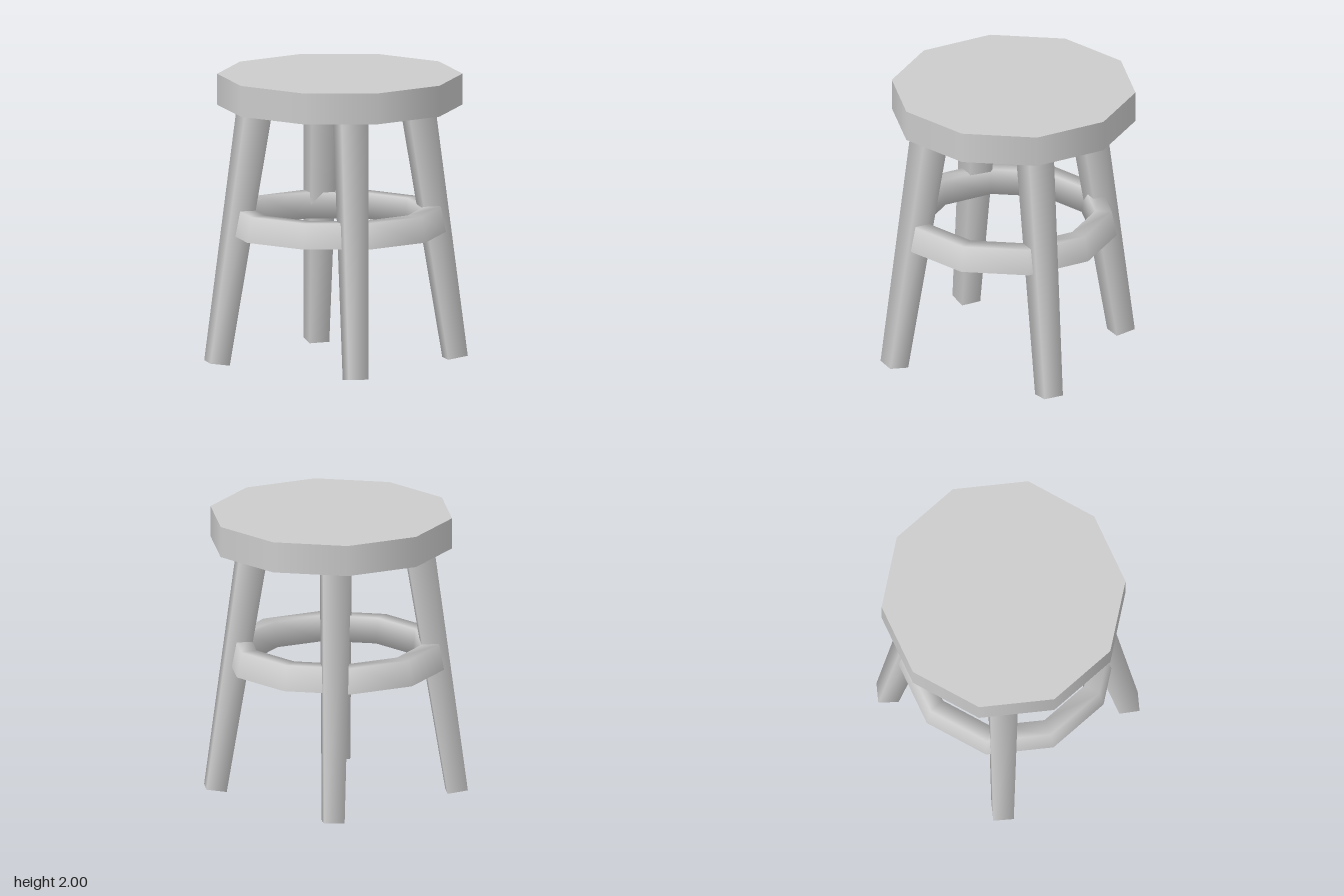
import * as THREE from 'three';

const material = new THREE.MeshStandardMaterial({ color: 0xcccccc });
const baseZ = 0.045; // legs and ring sit slightly forward of the seat centre

function add(parent, name, geometry) {
  const mesh = new THREE.Mesh(geometry, material);
  mesh.name = name;
  parent.add(mesh);
  return mesh;
}

// Tapered square leg running from its foot up into the seat
function addLeg(parent, name, sx, sz) {
  const foot = new THREE.Vector3(sx * 0.585, 0.016, baseZ + sz * 0.585);
  const top = new THREE.Vector3(sx * 0.4, 1.84, baseZ + sz * 0.385);
  const axis = top.clone().sub(foot);
  const geometry = new THREE.CylinderGeometry(0.139, 0.1, axis.length(), 4);
  geometry.rotateY(0.14);
  const leg = add(parent, name, geometry);
  leg.position.copy(foot).add(top).multiplyScalar(0.5);
  leg.quaternion.setFromUnitVectors(new THREE.Vector3(0, 1, 0), axis.normalize());
}

export function createModel() {
  const stool = new THREE.Group();
  stool.name = 'stool';

  // Ten-sided seat with corners on the x axis
  const seat = new THREE.CylinderGeometry(0.842, 0.842, 0.215, 10, 1, false, Math.PI / 2);
  add(stool, 'seat', seat).position.y = 2 - 0.215 / 2;

  // Four splayed legs
  for (const [z, end] of [[1, 'front'], [-1, 'back']]) {
    for (const [x, side] of [[1, 'Left'], [-1, 'Right']]) addLeg(stool, end + side + 'Leg', x, z);
  }

  // Ten-sided footrest ring passing through the legs
  const section = [[0.754, 0.905], [0.72, 1.08], [0.605, 1.08], [0.58, 0.905], [0.754, 0.905]]
    .map(([r, y]) => new THREE.Vector2(r, y));
  const ring = new THREE.LatheGeometry(section, 10, Math.PI / 2);
  add(stool, 'footrestRing', ring).position.z = baseZ;

  return stool;
}
